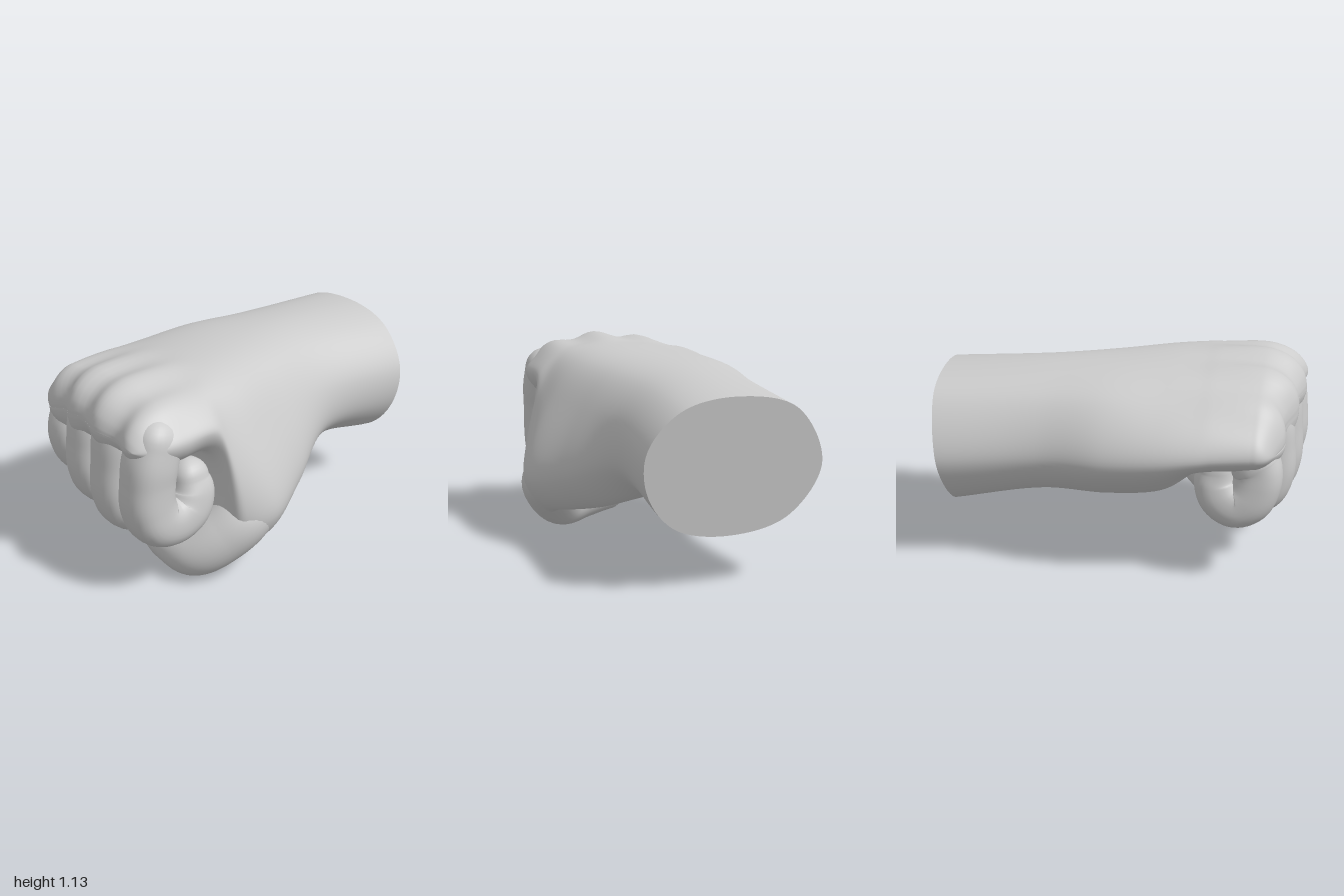
import * as THREE from 'three';

const V = (x, y, z) => new THREE.Vector3(x, y, z);
const { smoothstep } = THREE.MathUtils;
const material = new THREE.MeshStandardMaterial({ color: 0xcccccc });

// Skin a list of closed rings (equal point counts) with smooth normals.
function loft(name, rings) {
  const n = rings[0].length;
  const index = [];
  for (let i = 0; i < rings.length - 1; i++) {
    for (let j = 0; j < n; j++) {
      const a = i * n + j, b = i * n + (j + 1) % n;
      index.push(a, a + n, b, b, a + n, b + n);
    }
  }
  const geometry = new THREE.BufferGeometry().setFromPoints(rings.flat());
  geometry.setIndex(index);
  geometry.computeVertexNormals();
  const mesh = new THREE.Mesh(geometry, material);
  mesh.name = name;
  return mesh;
}

// Round-ended limb along a curve; each joint is [x, y, z, radius].
// A power above 2 makes the cross-section squarer.
function limb(name, joints, power, steps = 64, sides = 32) {
  const curve = new THREE.CatmullRomCurve3(joints.map(([x, y, z]) => V(x, y, z)), false, 'centripetal');
  const radii = new THREE.CatmullRomCurve3(joints.map(p => V(p[3], 0, 0)), false, 'catmullrom', 0.4);
  const frames = curve.computeFrenetFrames(steps, false);
  const rings = [];
  const ring = (i, shift, scale) => {
    const u = i / steps;
    const r = radii.getPoint(curve.getUtoTmapping(u)).x;
    const c = curve.getPointAt(u).addScaledVector(frames.tangents[i], shift * r);
    rings.push(Array.from({ length: sides }, (_, j) => {
      const a = j / sides * Math.PI * 2, ca = Math.cos(a), sa = Math.sin(a);
      const d = r * scale / (Math.abs(ca) ** power + Math.abs(sa) ** power) ** (1 / power);
      return c.clone()
        .addScaledVector(frames.normals[i], ca * d)
        .addScaledVector(frames.binormals[i], -sa * d);
    }));
  };
  const q = Math.PI / 2;
  for (let k = 0; k < 8; k++) ring(0, -Math.cos(k / 8 * q), Math.max(Math.sin(k / 8 * q), 0.002));
  for (let i = 0; i <= steps; i++) ring(i, 0, 1);
  for (let k = 7; k >= 0; k--) ring(steps, Math.cos(k / 8 * q), Math.max(Math.sin(k / 8 * q), 0.002));
  return loft(name, rings);
}

// Hand cross-sections: x, then [z, y] pairs from the top round the thumb side.
const SECTIONS = [
  [0.95, [[-0.1, 1.02], [0.2, 0.96], [0.37, 0.76], [0.355, 0.53], [0.2, 0.34], [-0.1, 0.28], [-0.42, 0.36], [-0.59, 0.63], [-0.43, 0.94]]],
  [0.4, [[-0.1, 1.07], [0.18, 1.01], [0.35, 0.8], [0.36, 0.56], [0.2, 0.41], [-0.1, 0.385], [-0.42, 0.45], [-0.58, 0.67], [-0.44, 0.97]]],
  [0.05, [[-0.05, 1.09], [0.25, 1.03], [0.43, 0.8], [0.535, 0.44], [0.38, 0.26], [0, 0.34], [-0.4, 0.43], [-0.66, 0.69], [-0.48, 0.99]]],
  [-0.25, [[0, 1.105], [0.33, 1.05], [0.52, 0.8], [0.67, 0.37], [0.52, 0.18], [0.15, 0.33], [-0.38, 0.46], [-0.685, 0.72], [-0.5, 0.98]]],
  [-0.43, [[0.04, 1.11], [0.36, 1.06], [0.525, 0.85], [0.625, 0.37], [0.46, 0.12], [0.2, 0.44], [-0.36, 0.57], [-0.68, 0.74], [-0.5, 0.98]]],
  [-0.52, [[0.05, 1.115], [0.37, 1.06], [0.525, 0.92], [0.47, 0.78], [0.27, 0.73], [0, 0.69], [-0.38, 0.61], [-0.67, 0.75], [-0.5, 0.98]]],
  [-0.72, [[0.05, 1.115], [0.37, 1.065], [0.525, 0.93], [0.47, 0.8], [0.27, 0.75], [0, 0.71], [-0.38, 0.62], [-0.645, 0.76], [-0.48, 0.975]]],
];

// Palm, back of the hand and forearm as one continuous skin.
function handRings(sides = 120, steps = 110) {
  const rings = SECTIONS.map(([x, pts], k) => {
    const curve = new THREE.CatmullRomCurve3(
      // The cut end of the forearm leans back towards its underside.
      pts.map(([z, y]) => V(k === 0 ? 0.9 + (y - 0.28) * 0.135 : x, y, z)), true, 'centripetal');
    return Array.from({ length: sides }, (_, j) => curve.getPoint(j / sides));
  });
  // Rounded row of knuckles, set back and lower towards the little finger.
  const last = rings[rings.length - 1];
  for (const a of [0.3, 0.6, 0.9, 1.2, 1.45, 1.57]) {
    const s = Math.cos(a);
    rings.push(last.map(p => {
      const z = -0.05 + (p.z + 0.05) * (1 - (1 - s) * 0.2);
      const mid = 0.9 - Math.max(0, -p.z - 0.1) * 0.25;
      return V(-0.72 - (0.25 - Math.max(0, -p.z) * 0.17) * Math.sin(a), mid + (p.y - mid) * s, z);
    }));
  }
  const columns = last.map((_, j) =>
    new THREE.CatmullRomCurve3(rings.map(r => r[j]), false, 'centripetal'));
  return Array.from({ length: steps + 1 }, (_, i) => columns.map(c => {
    const p = c.getPoint(i / steps);
    // Ridges over the four knuckles, fading out along the back of the hand.
    const ridge = Math.cos((p.z - 0.1) / 0.275 * Math.PI * 2);
    p.y += 0.015 * ridge * smoothstep(-p.x, 0.3, 0.8) * smoothstep(p.y, 0.8, 1);
    p.x -= 0.018 * ridge * smoothstep(-p.x, 0.72, 0.9);
    return p;
  }));
}

// Curled finger: knuckle height, forward and backward reach, lowest level, z at knuckle and fold.
function finger(name, { top, front, back, bottom, zTop, zLow, r }) {
  const x = front + r, y = bottom + r;
  return limb(name, [
    [x + 0.05, top - 0.18, zTop, r * 0.95],
    [x + 0.015, top - 0.3, zTop, r],
    [x, (top + bottom) / 2, (zTop + zLow) / 2, r * 0.98],
    [x, y + 0.13, zLow, r],
    [x + 0.04, y + 0.035, zLow, r * 1.02],
    [(x + back) / 2, y, zLow, r],
    [back - 0.04, y + 0.035, zLow, r * 0.97],
    [back, y + 0.12, zLow, r * 0.88],
    [back, y + 0.2, zLow - 0.01, r * 0.72],
  ], 2.5);
}

export function createModel() {
  const group = new THREE.Group();
  group.name = 'fist';

  const rings = handRings();
  group.add(loft('handAndForearm', rings));

  // Flat cut across the forearm.
  const centre = rings[0].reduce((s, p) => s.add(p), V(0, 0, 0)).divideScalar(rings[0].length);
  group.add(loft('forearmCap', [rings[0].map(() => centre.clone()), rings[0]]));

  group.add(
    finger('indexFinger', { top: 1.085, front: -1.0, back: -0.59, bottom: 0.28, zTop: 0.38, zLow: 0.375, r: 0.138 }),
    finger('middleFinger', { top: 1.13, front: -0.98, back: -0.55, bottom: 0.235, zTop: 0.1, zLow: 0.09, r: 0.142 }),
    finger('ringFinger', { top: 1.09, front: -0.95, back: -0.54, bottom: 0.265, zTop: -0.175, zLow: -0.18, r: 0.138 }),
    finger('littleFinger', { top: 0.985, front: -0.89, back: -0.54, bottom: 0.315, zTop: -0.45, zLow: -0.45, r: 0.133 }),
  );

  // Thumb folded across under the fingers.
  group.add(limb('thumb', [
    [-0.2, 0.4, 0.45, 0.11],
    [-0.32, 0.35, 0.51, 0.155],
    [-0.44, 0.25, 0.465, 0.16],
    [-0.56, 0.15, 0.365, 0.15],
    [-0.6, 0.15, 0.22, 0.125],
    [-0.6, 0.16, 0.08, 0.1],
  ], 2));

  return group;
}
